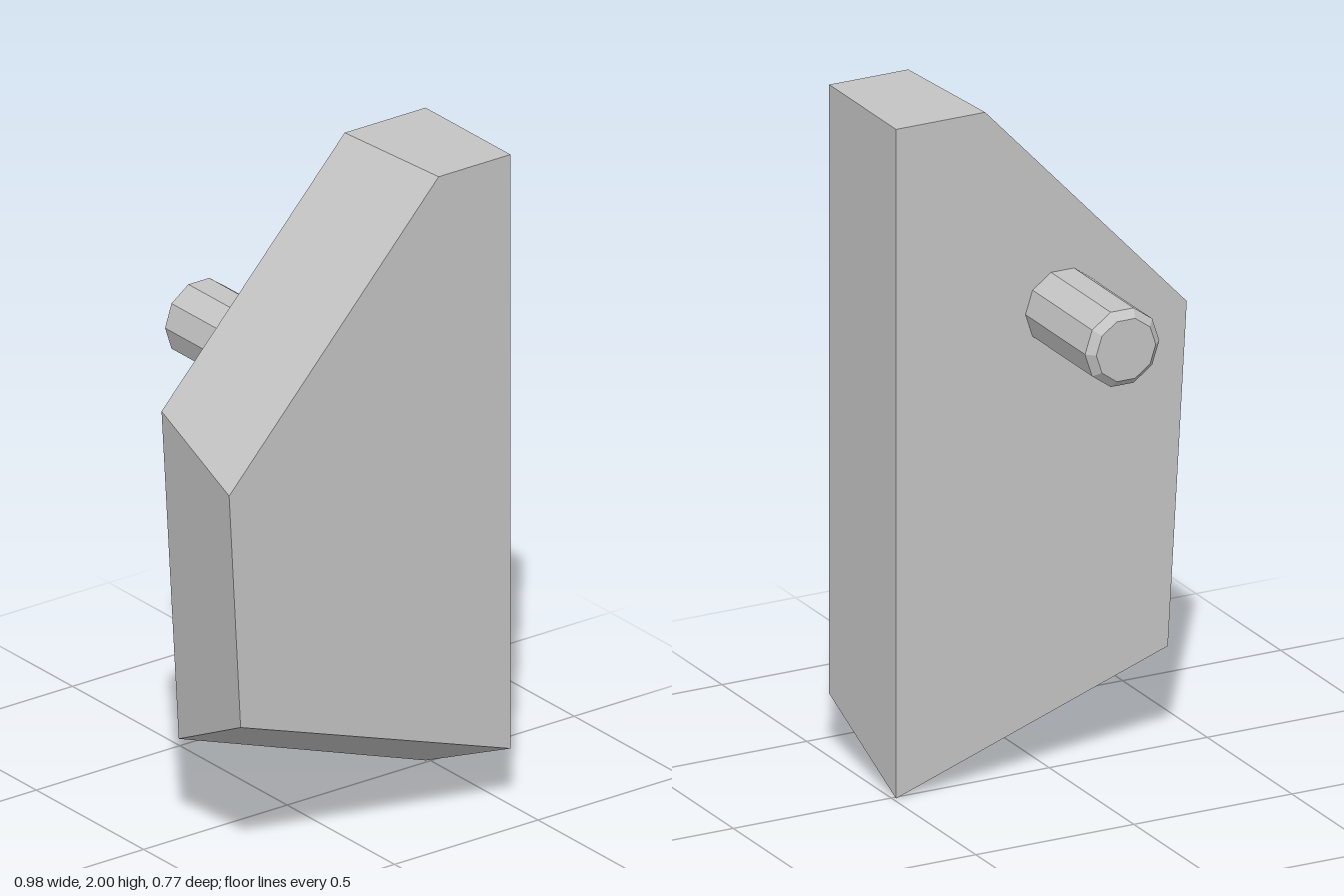
import * as THREE from 'three';

// Outlines run counter-clockwise as seen from the front.
const FRONT_Z = 0.385, BACK_Z = -0.01;
const FRONT = [[0.49, 0.18], [0.49, 2], [0.24, 2], [-0.49, 1.22], [-0.45, 0.5]];
const BACK = [[0.49, 0], [0.49, 2], [0.208, 2], [-0.43, 1.32], [-0.37, 0.3]];

// Solid lofted between two flat outlines with matching corners
function loft(front, zFront, back, zBack) {
  const f = front.map(([x, y]) => [x, y, zFront]);
  const b = back.map(([x, y]) => [x, y, zBack]);
  const n = f.length, pos = [];
  const tri = (...corners) => corners.forEach(c => pos.push(...c));
  for (let i = 1; i < n - 1; i++) {
    tri(f[0], f[i], f[i + 1]);
    tri(b[0], b[i + 1], b[i]);
  }
  for (let i = 0; i < n; i++) {
    const j = (i + 1) % n;
    tri(f[i], b[i], b[j]);
    tri(f[i], b[j], f[j]);
  }
  const geometry = new THREE.BufferGeometry();
  geometry.setAttribute('position', new THREE.Float32BufferAttribute(pos, 3));
  geometry.computeVertexNormals();
  return geometry;
}

export function createModel() {
  const group = new THREE.Group();
  const grey = new THREE.MeshStandardMaterial({ color: 0xc4c4c4 });
  grey.name = 'light grey';
  grey.flatShading = true;

  // Tapered block
  const block = new THREE.Mesh(loft(FRONT, FRONT_Z, BACK, BACK_Z), grey);
  block.name = 'block';
  group.add(block);

  // Ten-sided peg on the back, with a chamfered end
  const peg = new THREE.Group();
  peg.name = 'peg';
  peg.position.set(-0.037, 1.372, 0);
  const addSection = (name, rEnd, rStart, zStart, zEnd, open) => {
    const g = new THREE.CylinderGeometry(rEnd, rStart, zStart - zEnd, 10, 1, open, Math.PI / 2);
    g.rotateX(-Math.PI / 2);
    g.translate(0, 0, (zStart + zEnd) / 2);
    const mesh = new THREE.Mesh(g, grey);
    mesh.name = name;
    peg.add(mesh);
  };
  addSection('pegShaft', 0.1175, 0.1175, BACK_Z, -0.362, true);
  addSection('pegChamfer', 0.094, 0.1175, -0.362, -0.385, false);
  group.add(peg);

  return group;
}
